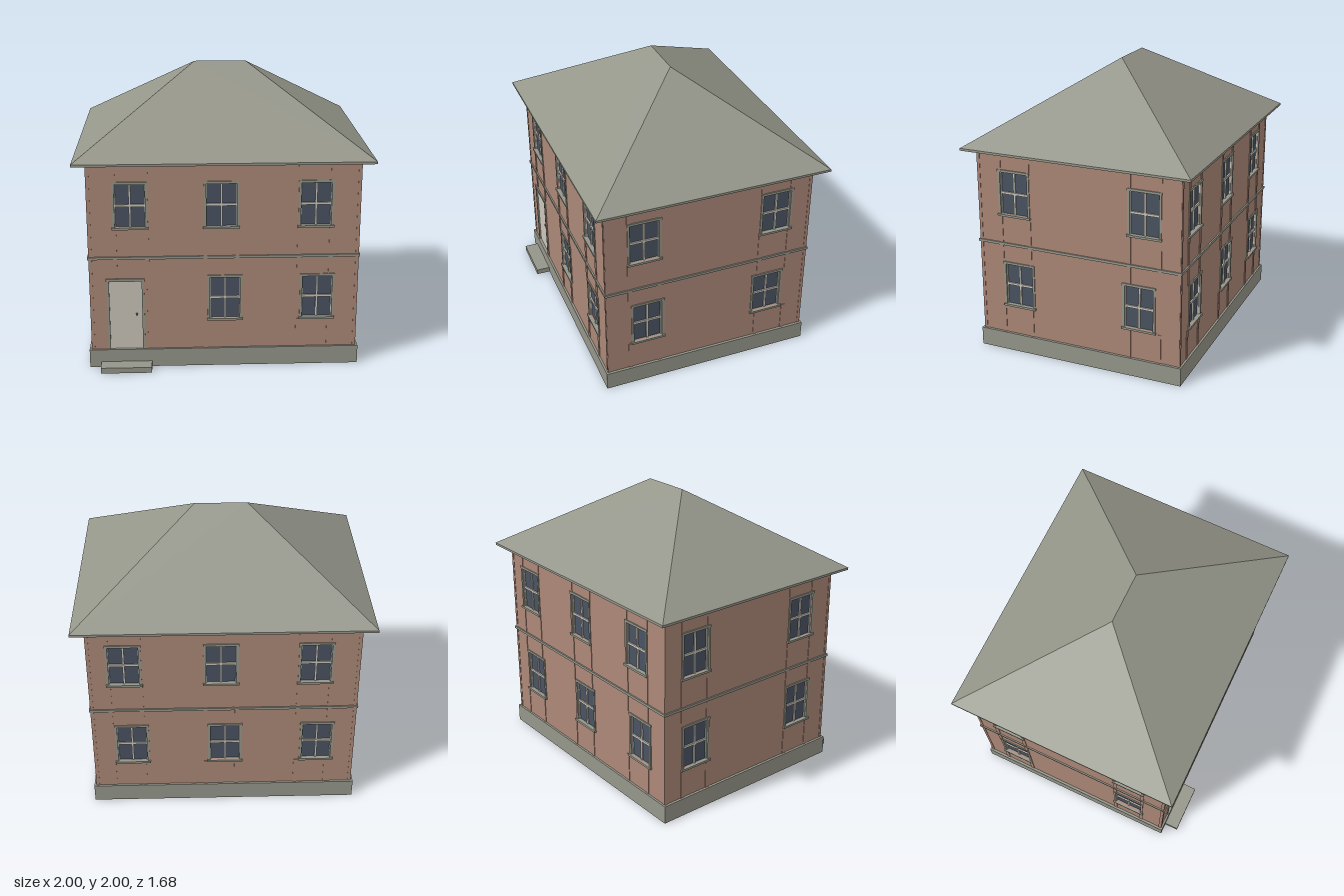
import * as THREE from 'three';
import { ConvexGeometry } from 'three/addons/geometries/ConvexGeometry.js';

const mat = (name, color) => {
  const m = new THREE.MeshStandardMaterial({ color });
  m.name = name;
  return m;
};

export function createModel() {
  const brick = mat('brick', 0xac8878);
  const stone = mat('greyStone', 0x95968a);
  const cream = mat('creamPaint', 0xcbc6bb);
  const glass = mat('darkGlass', 0x4a5362);
  const metal = mat('darkMetal', 0x6c6a64);

  const house = new THREE.Group();
  house.name = 'house';

  // Box given by its limits
  function box(parent, name, material, x0, x1, y0, y1, z0, z1) {
    const mesh = new THREE.Mesh(new THREE.BoxGeometry(x1 - x0, y1 - y0, z1 - z0), material);
    mesh.position.set((x0 + x1) / 2, (y0 + y1) / 2, (z0 + z1) / 2);
    mesh.name = name;
    parent.add(mesh);
    return mesh;
  }

  const HX = 0.912, HZ = 0.74, CZ = -0.015, DEPTH = 0.025, TOP = 1.465;
  const HALF_W = 0.102; // half width of a window opening
  const upper = [1.02, 1.318], lower = [0.352, 0.652];

  function rectangle(Type, x0, x1, y0, y1) {
    const s = new Type();
    s.moveTo(x0, y0);
    s.lineTo(x1, y0);
    s.lineTo(x1, y1);
    s.lineTo(x0, y1);
    s.closePath();
    return s;
  }

  // Sash window: glass and bars set in the opening, stone surround outside
  function addWindow(face, x, [y0, y1]) {
    const w = new THREE.Group();
    w.name = 'window';
    w.position.x = x;
    face.add(w);
    const a = HALF_W, mid = (y0 + y1) / 2;
    box(w, 'glass', glass, -a, a, y0, y1, -0.022, -0.015);
    box(w, 'verticalBar', cream, -0.007, 0.007, y0, y1, -0.015, -0.006);
    box(w, 'crossBar', cream, -a, a, mid - 0.008, mid + 0.008, -0.015, -0.005);
    for (const s of [-1, 1]) {
      const sash = box(w, 'sashSide', cream, -0.003, 0.003, y0, y1, -0.015, -0.006);
      sash.position.x = s * (a - 0.003);
      const jamb = box(w, 'jamb', stone, -0.008, 0.008, y0, y1, -0.01, 0.006);
      jamb.position.x = s * (a + 0.008);
    }
    box(w, 'lintel', stone, -0.12, 0.12, y1, y1 + 0.017, -0.01, 0.008);
    box(w, 'sill', stone, -0.123, 0.123, y0 - 0.015, y0, -0.02, 0.016);
  }

  function addDoor(face, x) {
    const d = new THREE.Group();
    d.name = 'door';
    d.position.x = x;
    face.add(d);
    box(d, 'doorPanel', cream, -0.112, 0.112, 0.13, 0.63, -0.022, -0.006);
    for (const s of [-1, 1]) {
      const jamb = box(d, 'doorJamb', stone, -0.008, 0.008, 0.13, 0.635, -0.01, 0.006);
      jamb.position.x = s * 0.119;
    }
    box(d, 'doorLintel', stone, -0.131, 0.131, 0.632, 0.652, -0.01, 0.01);
    box(d, 'doorHandle', metal, 0.067, 0.081, 0.378, 0.392, -0.006, 0.004);
  }

  // One wall with its openings, facing local +z
  function addFace(name, half, trim, ups, lows, doorX, rotation, px, pz) {
    const face = new THREE.Group();
    face.name = name;
    face.rotation.y = rotation;
    face.position.set(px, 0, pz);
    house.add(face);

    const outline = rectangle(THREE.Shape, -half + trim, half - trim, 0.1, TOP);
    const openings = [...ups.map(x => [x, upper]), ...lows.map(x => [x, lower])];
    for (const [x, y] of openings) {
      outline.holes.push(rectangle(THREE.Path, x - HALF_W, x + HALF_W, y[0], y[1]));
      addWindow(face, x, y);
    }
    if (doorX !== null) {
      outline.holes.push(rectangle(THREE.Path, doorX - 0.112, doorX + 0.112, 0.125, 0.632));
      addDoor(face, doorX);
    }
    const wall = new THREE.Mesh(
      new THREE.ExtrudeGeometry(outline, { depth: DEPTH, bevelEnabled: false }), brick);
    wall.position.z = -DEPTH;
    wall.name = 'wall';
    face.add(wall);

    // Shallow brick piers beside the bays, broken by the openings
    ups.forEach(x => {
      const hasDoor = doorX !== null && Math.abs(x - doorX) < 0.2;
      for (const s of [-1, 1]) {
        const c = x + s * 0.108;
        box(face, 'pier', brick, c - 0.014, c + 0.014, 1.335, TOP, -0.01, 0.004);
        box(face, 'pier', brick, c - 0.014, c + 0.014, 0.67, 1.005, -0.01, 0.004);
        if (!hasDoor) box(face, 'pier', brick, c - 0.014, c + 0.014, 0.12, 0.337, -0.01, 0.004);
      }
      if (hasDoor) box(face, 'pier', brick, doorX + 0.128, doorX + 0.148, 0.12, 0.632, -0.01, 0.004);
    });
    for (const s of [-1, 1]) {
      const corner = box(face, 'cornerPier', brick, -0.01, 0.01, 0.12, TOP, -0.01, 0.003);
      corner.position.x = s * (half - 0.01);
    }
  }

  addFace('frontFace', HX, 0, [-0.628, -0.018, 0.615], [0.005, 0.636], -0.672, 0, 0, CZ + HZ);
  addFace('backFace', HX, 0, [-0.67, -0.02, 0.617], [-0.64, 0.007, 0.65], null, Math.PI, 0, CZ - HZ);
  // Side faces: local x runs to -z on the +x side and to +z on the -x side
  addFace('leftFace', HZ, DEPTH, [-0.465, 0.485], [-0.445, 0.448], null, Math.PI / 2, HX, CZ);
  addFace('rightFace', HZ, DEPTH, [-0.485, 0.46], [-0.48, 0.46], null, -Math.PI / 2, -HX, CZ);

  // Plinth, step and the band between the floors
  box(house, 'plinth', stone, -0.93, 0.93, 0, 0.13, -0.77, 0.74);
  box(house, 'doorStep', stone, -0.85, -0.5, 0, 0.04, 0.7, 0.84);
  for (const s of [-1, 1]) {
    box(house, 'floorBand', stone, -HX - 0.01, HX + 0.01, 0.792, 0.81, -0.01, 0.01)
      .position.z = CZ + s * HZ;
    box(house, 'floorBand', stone, -0.01, 0.01, 0.792, 0.81, CZ - HZ - 0.01, CZ + HZ + 0.01)
      .position.x = s * HX;
  }

  // Hipped roof with a thin eaves edge and a short ridge
  const points = [];
  for (const s of [-1, 1]) {
    for (const z of [-0.84, 0.8])
      for (const y of [1.46, 1.476]) points.push(new THREE.Vector3(s, y, z));
    points.push(new THREE.Vector3(s * 0.18, 2, -0.02));
  }
  const roof = new THREE.Mesh(new ConvexGeometry(points), stone);
  roof.name = 'roof';
  house.add(roof);

  return house;
}
